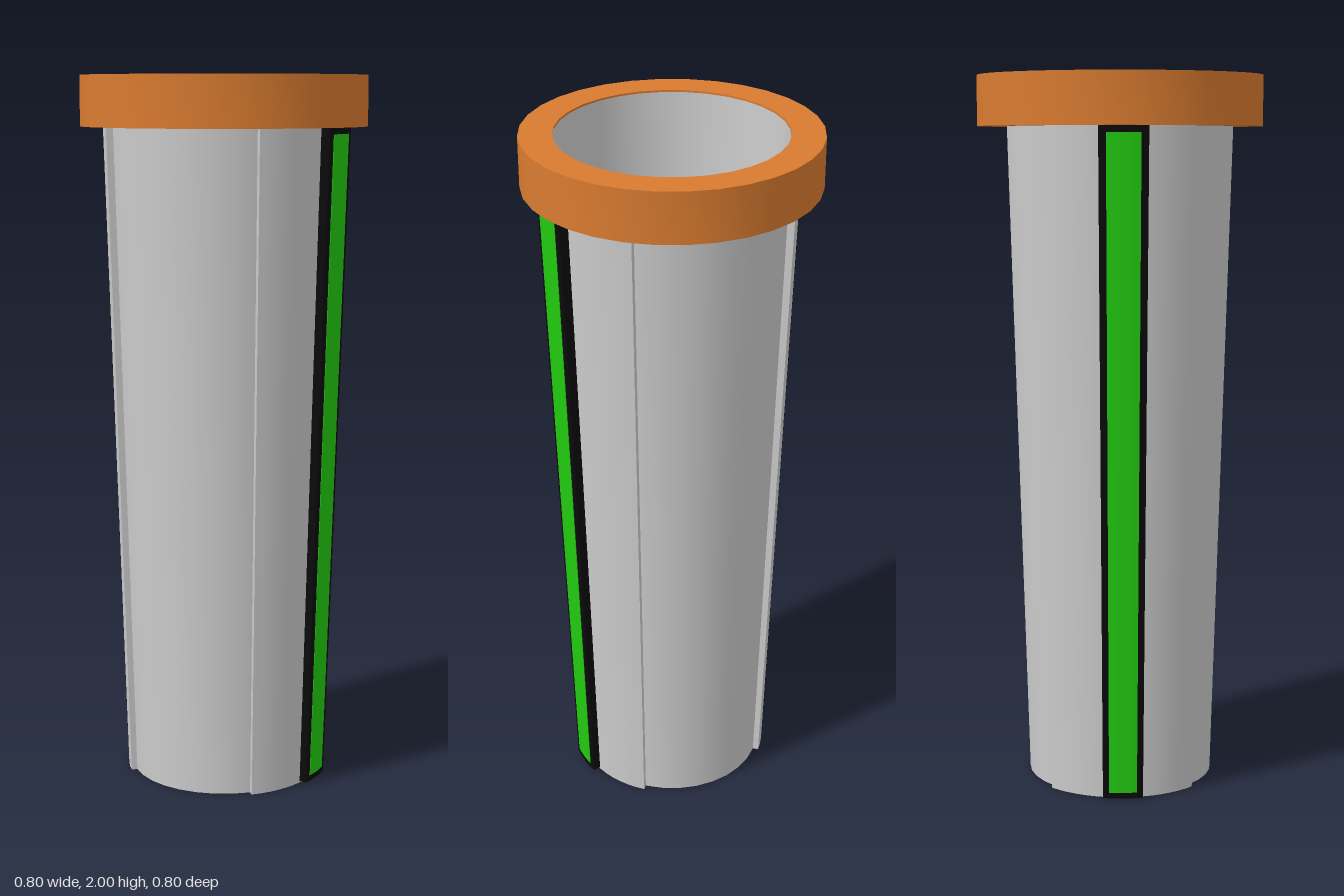
import * as THREE from 'three';
import { toCreasedNormals } from 'three/addons/utils/BufferGeometryUtils.js';

const RIM_BASE = 1.86;   // height where the rim starts
const BASE_SCALE = 0.835; // radius at the foot relative to the radius under the rim
const taper = (y) => BASE_SCALE + (1 - BASE_SCALE) * (y / RIM_BASE);
const CREASE = 0.6;

const material = (color, side = THREE.FrontSide) => new THREE.MeshStandardMaterial({ color, side });

function addMesh(parent, name, geometry, mat) {
  const mesh = new THREE.Mesh(geometry, mat);
  mesh.name = name;
  parent.add(mesh);
  return mesh;
}

// Revolved solid from [radius, height] points
function revolve(points) {
  const profile = points.map(([r, y]) => new THREE.Vector2(r, y));
  return toCreasedNormals(new THREE.LatheGeometry(profile, 32), CREASE);
}

// Tapering curved plate centred on +x, between two radii, spanning +-half angle
function curvedPlate(inner, outer, half, y0, y1, segments) {
  const shape = new THREE.Shape();
  shape.absarc(0, 0, outer, -half, half, false);
  shape.absarc(0, 0, inner, half, -half, true);
  shape.closePath();
  const geo = new THREE.ExtrudeGeometry(shape, {
    depth: y1 - y0, bevelEnabled: false, curveSegments: segments,
  });
  geo.rotateX(-Math.PI / 2);
  geo.translate(0, y0, 0);
  const p = geo.attributes.position;
  for (let i = 0; i < p.count; i++) {
    const k = taper(p.getY(i));
    p.setXYZ(i, p.getX(i) * k, p.getY(i), p.getZ(i) * k);
  }
  return toCreasedNormals(geo, CREASE);
}

export function createModel() {
  const model = new THREE.Group();
  model.name = 'taperedCup';
  const grey = material(0xcccccc);
  const black = material(0x0a0a0a);
  const green = material(0x22cc11);
  const orange = material(0xd97b30);

  // Hollow body with a floor
  const R = 0.317;
  addMesh(model, 'body', revolve([
    [0, 0], [R * taper(0), 0], [R * taper(1.98), 1.98],
    [0.309, 1.995], [0.255, 0.02], [0, 0.02],
  ]), material(0xcccccc, THREE.DoubleSide));

  // Rim ring
  addMesh(model, 'rim', revolve([
    [0.31, RIM_BASE], [0.4, RIM_BASE], [0.4, 2], [0.31, 2], [0.31, RIM_BASE],
  ]), orange);

  // Raised side panels, each carrying a framed stripe
  for (const [side, turn] of [['left', 0], ['right', Math.PI]]) {
    const group = new THREE.Group();
    group.name = side + 'Side';
    addMesh(group, side + 'Panel', curvedPlate(0.305, 0.337, Math.PI / 4, 0, RIM_BASE, 8), grey);
    addMesh(group, side + 'StripeFrame', curvedPlate(0.325, 0.364, 0.185, 0.005, RIM_BASE, 4), black);
    addMesh(group, side + 'Stripe', curvedPlate(0.345, 0.3655, 0.128, 0.022, 1.842, 4), green);
    group.rotation.y = turn;
    model.add(group);
  }
  return model;
}
